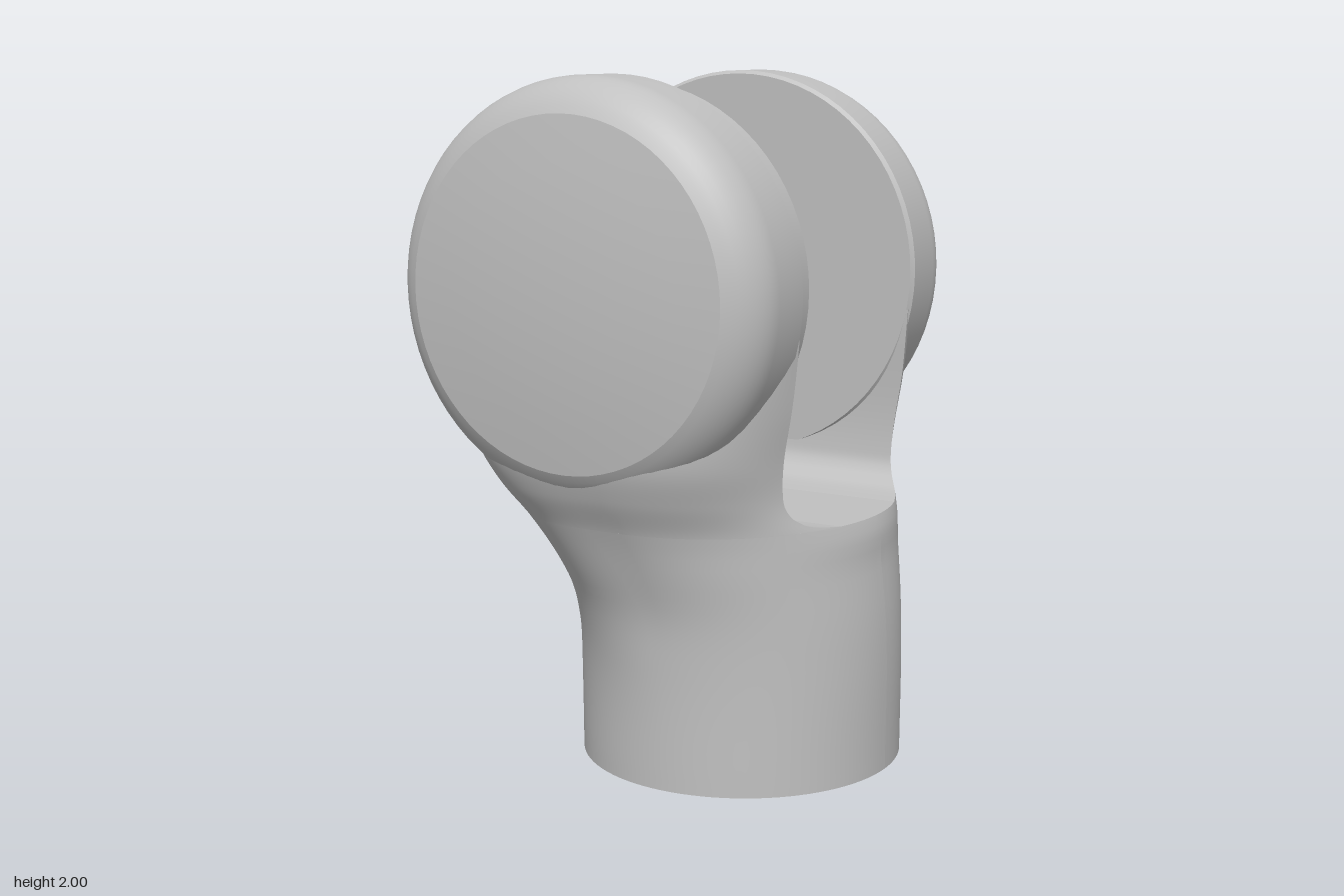
import * as THREE from 'three';
import { toCreasedNormals } from 'three/addons/utils/BufferGeometryUtils.js';

const FLOOR = 0.755; // height of the slot floor
const HEAD = { x: -0.05, y: 1.41 };

// Section values by height: left x and right x at the slot wall, depth, left and right squareness, centre x
const heights = [0, 0.35, 0.5, 0.62, FLOOR, 0.85, 0.95, 1.1, 1.3];
const sections = new THREE.CubicInterpolant(heights, [
  -0.156, 0.476, 0.475, 2, 2, 0.16,
  -0.16, 0.476, 0.475, 2, 2, 0.16,
  -0.2, 0.478, 0.485, 2.5, 2, 0.16,
  -0.255, 0.48, 0.515, 3.2, 2, 0.13,
  -0.333, 0.48, 0.56, 4, 2, 0.08,
  -0.41, 0.477, 0.605, 4, 2.4, 0.03,
  -0.48, 0.485, 0.635, 3.8, 2.8, 0,
  -0.555, 0.508, 0.635, 3.5, 3.2, -0.04,
  -0.622, 0.525, 0.6, 4, 4, -0.05,
], 6);

// Distance of the slot wall from the middle, with a fillet at the floor
const wall = new THREE.CubicInterpolant([FLOOR, 0.765, 0.785, 0.82, 0.87, 1.3],
  [0.18, 0.26, 0.31, 0.342, 0.355, 0.355], 1);
const WALL_Z = 0.355;

// Returns a function giving the outline point at angle t for height y
function outline(y) {
  const [xl, xr, b, nl, nr, cx] = sections.evaluate(y);
  const reach = (x, n) => Math.abs(x - cx) / Math.pow(1 - Math.pow(WALL_Z / b, n), 1 / n);
  const al = reach(xl, nl), ar = reach(xr, nr);
  const point = (t) => {
    const c = Math.cos(t), s = Math.sin(t);
    const n = c > 0 ? nr : nl, a = c > 0 ? ar : al;
    return [
      cx + Math.sign(c) * a * Math.pow(Math.abs(c), 2 / n),
      y,
      Math.sign(s) * b * Math.pow(Math.abs(s), 2 / n),
    ];
  };
  const startAngle = (z, n) => Math.asin(Math.pow(z / b, n / 2));
  return { point, right: (z) => startAngle(z, nr), left: (z) => Math.PI - startAngle(z, nl) };
}

// Skin over rows of points, all rows having the same length
function skin(rows) {
  const n = rows[0].length, index = [];
  for (let r = 0; r < rows.length - 1; r++) {
    for (let i = 0; i < n - 1; i++) {
      const a = r * n + i, b = a + n;
      index.push(a, b, a + 1, a + 1, b, b + 1);
    }
  }
  const g = new THREE.BufferGeometry();
  g.setAttribute('position', new THREE.Float32BufferAttribute(rows.flat(2), 3));
  g.setIndex(index);
  g.computeVertexNormals();
  return g;
}

const range = (n, f) => Array.from({ length: n + 1 }, (_, i) => f(i / n));

function lathe(points, crease = 0.35) {
  const g = new THREE.LatheGeometry(points.map(([r, y]) => new THREE.Vector2(r, y)), 72);
  return toCreasedNormals(g, crease);
}

export function createModel() {
  const model = new THREE.Group();
  model.name = 'forkJoint';
  const grey = new THREE.MeshStandardMaterial({ color: 0xc0c0c0 });
  grey.name = 'grey';
  const add = (parent, name, geometry) => {
    const mesh = new THREE.Mesh(geometry, grey);
    mesh.name = name;
    parent.add(mesh);
    return mesh;
  };

  // Round sleeve, widening toward the fork
  const sleeveRows = range(24, (v) => {
    const o = outline(v * FLOOR);
    return range(96, (u) => o.point(u * Math.PI * 2));
  });
  add(model, 'sleeve', skin(sleeveRows));

  // Slot floor closing the sleeve
  const rim = sleeveRows[sleeveRows.length - 1];
  add(model, 'slotFloor', skin([rim, rim.map(() => [0.1, FLOOR, 0])]));

  // Recessed underside with a thin lip
  const socket = add(model, 'socket', lathe([[0, 0.05], [0.44, 0.05], [0.44, 0], [0.475, 0]]));
  socket.position.x = 0.16;

  // Head profile: flat inside, straight rim, rounded shoulder, shallow dome
  const shoulder = range(8, (u) => {
    const a = u * Math.PI / 3;
    return [0.59 - 0.2 * (1 - Math.cos(a)), 0.5 + 0.162 * Math.sin(a)];
  });
  const dome = [[0.36, 0.657], [0.2, 0.67], [0, 0.675]];
  const headGeometry = lathe([[0, WALL_Z], [0.58, WALL_Z], [0.59, 0.367], ...shoulder, ...dome]);
  headGeometry.rotateX(Math.PI / 2);

  // Neck running from the sleeve into the head
  const levels = range(40, (v) => FLOOR + (1.3 - FLOOR) * v * v);
  const neckRows = levels.map((y) => {
    const o = outline(y), z = wall.evaluate(y)[0];
    const t0 = o.right(z), t1 = o.left(z);
    return range(56, (u) => o.point(t0 + (t1 - t0) * u));
  });
  const neckGeometry = skin(neckRows);
  const wallGeometry = skin(neckRows.map((row) => [row[row.length - 1], row[0]]));

  // Two mirrored arms
  for (const [name, side] of [['frontArm', 1], ['backArm', -1]]) {
    const arm = new THREE.Group();
    arm.name = name;
    add(arm, 'neck', neckGeometry);
    add(arm, 'innerWall', wallGeometry);
    add(arm, 'head', headGeometry).position.set(HEAD.x, HEAD.y, 0);
    arm.scale.z = side;
    model.add(arm);
  }

  // Pad on the inside of the front head only
  const pad = add(model, 'innerPad', new THREE.CylinderGeometry(0.56, 0.56, 0.09, 72));
  pad.rotation.x = Math.PI / 2;
  pad.position.set(HEAD.x, HEAD.y + 0.01, 0.317);

  return model;
}
